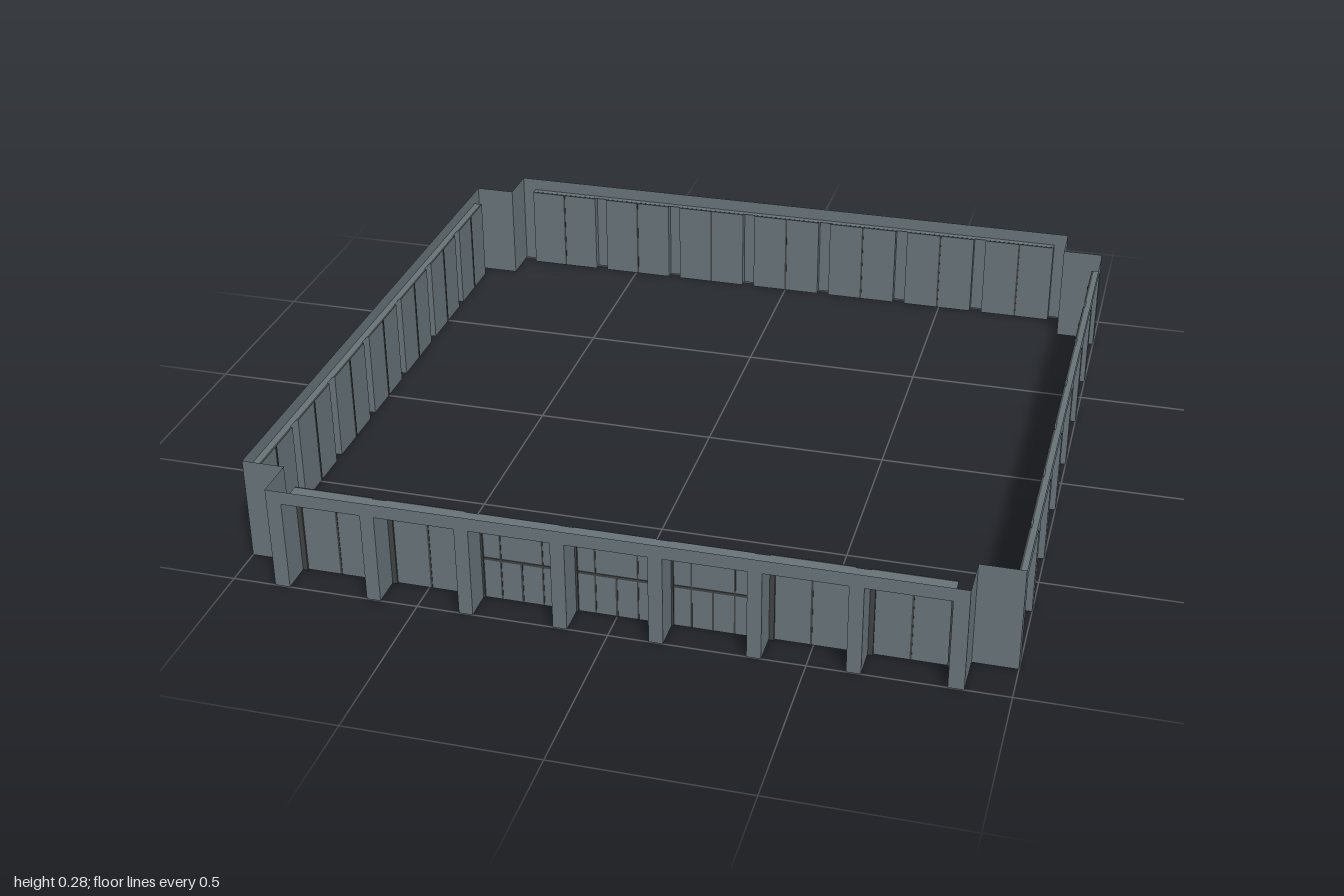
import * as THREE from 'three';

const H = 0.285, END = 0.885, BAY = 0.21, PITCH = 0.2467, TOP = 0.248;

export function createModel() {
  const wallMat = new THREE.MeshStandardMaterial({ color: 0x667278, side: THREE.DoubleSide });
  wallMat.name = 'slate grey cladding';
  const frameMat = new THREE.MeshStandardMaterial({ color: 0x404342 });
  frameMat.name = 'dark frame';

  const add = (parent, name, geo, mat, x, y, z) => {
    const m = new THREE.Mesh(geo, mat);
    m.name = name;
    m.position.set(x, y, z);
    parent.add(m);
    return m;
  };
  const bar = (parent, name, w, h, d, x, y, z) =>
    add(parent, name, new THREE.BoxGeometry(w, h, d), frameMat, x, y, z);

  // Outer sheet: header and pillars in one comb-shaped face
  const facade = new THREE.Shape();
  facade.moveTo(-END, 0);
  for (let i = -3; i <= 3; i++) {
    const l = i * PITCH - BAY / 2, r = l + BAY;
    facade.lineTo(l, 0).lineTo(l, TOP).lineTo(r, TOP).lineTo(r, 0);
  }
  facade.lineTo(END, 0).lineTo(END, H).lineTo(-END, H).closePath();

  // One recessed bay; its back sheet lies at z = 1 - depth
  function makeBay(x, depth, shopfront) {
    const bay = new THREE.Group();
    bay.name = shopfront ? 'entranceBay' : 'windowBay';
    bay.position.x = x;
    const back = 1 - depth;
    add(bay, 'panel', new THREE.PlaneGeometry(BAY, TOP), wallMat, 0, TOP / 2, back);
    for (const s of [-1, 1]) {
      const reveal = add(bay, 'reveal', new THREE.PlaneGeometry(depth, TOP), wallMat, s * BAY / 2, TOP / 2, 1 - depth / 2);
      reveal.rotation.y = -s * Math.PI / 2;
    }
    // Surround
    const t = shopfront ? 0.005 : 0.013, d = 0.006, z = back + d / 2 + 0.0005;
    for (const s of [-1, 1]) bar(bay, 'jamb', t, TOP - 0.001, d, s * (BAY - t - 0.001) / 2, TOP / 2, z);
    bar(bay, 'frameHead', BAY - 0.001, t, d, 0, TOP - t / 2 - 0.0005, z);
    // Glazing bars show on both sides of the panel
    const md = 0.004;
    if (shopfront) {
      bar(bay, 'transom', BAY - 0.002, 0.007, md, 0, 0.117, back);
      for (const o of [-0.055, 0.055]) bar(bay, 'mullion', 0.004, TOP - 0.002, md, o, TOP / 2, back);
      bar(bay, 'lowerMullion', 0.005, 0.115, md, 0, 0.0575, back);
    } else {
      bar(bay, 'mullion', 0.005, TOP - 0.002, md, 0, TOP / 2, back);
    }
    return bay;
  }

  // One side of the ring, facing +z before it is turned
  function makeWall(name, depth, hasEntrances) {
    const wall = new THREE.Group();
    wall.name = name;
    add(wall, 'facade', new THREE.ShapeGeometry(facade), wallMat, 0, 0, 1);
    const ledgeDepth = depth - 0.006, ledgeWidth = 6 * PITCH + BAY;
    const ledge = add(wall, 'ledge', new THREE.PlaneGeometry(ledgeWidth, ledgeDepth), wallMat, 0, TOP, 1 - ledgeDepth / 2);
    ledge.rotation.x = -Math.PI / 2;
    for (let i = -3; i <= 3; i++) {
      const entrance = hasEntrances && Math.abs(i) < 2;
      wall.add(makeBay(i * PITCH, entrance ? depth - 0.003 : depth, entrance));
    }
    return wall;
  }

  const model = new THREE.Group();
  model.name = 'storeyRing';
  ['frontWall', 'leftWall', 'backWall', 'rightWall'].forEach((name, k) => {
    const wall = makeWall(name, k === 0 ? 0.088 : 0.024, k === 0);
    wall.rotation.y = k * Math.PI / 2;
    model.add(wall);
  });

  // Notched corners
  const w = 1 - END, c = (1 + END) / 2;
  for (const sx of [-1, 1]) for (const sz of [-1, 1]) {
    const corner = new THREE.Group();
    corner.name = 'cornerNotch';
    const a = add(corner, 'cornerFace', new THREE.PlaneGeometry(w, H), wallMat, sx * c, H / 2, sz * END);
    if (sz < 0) a.rotation.y = Math.PI;
    const b = add(corner, 'cornerReturn', new THREE.PlaneGeometry(w, H), wallMat, sx * END, H / 2, sz * c);
    b.rotation.y = sx * Math.PI / 2;
    model.add(corner);
  }
  return model;
}
